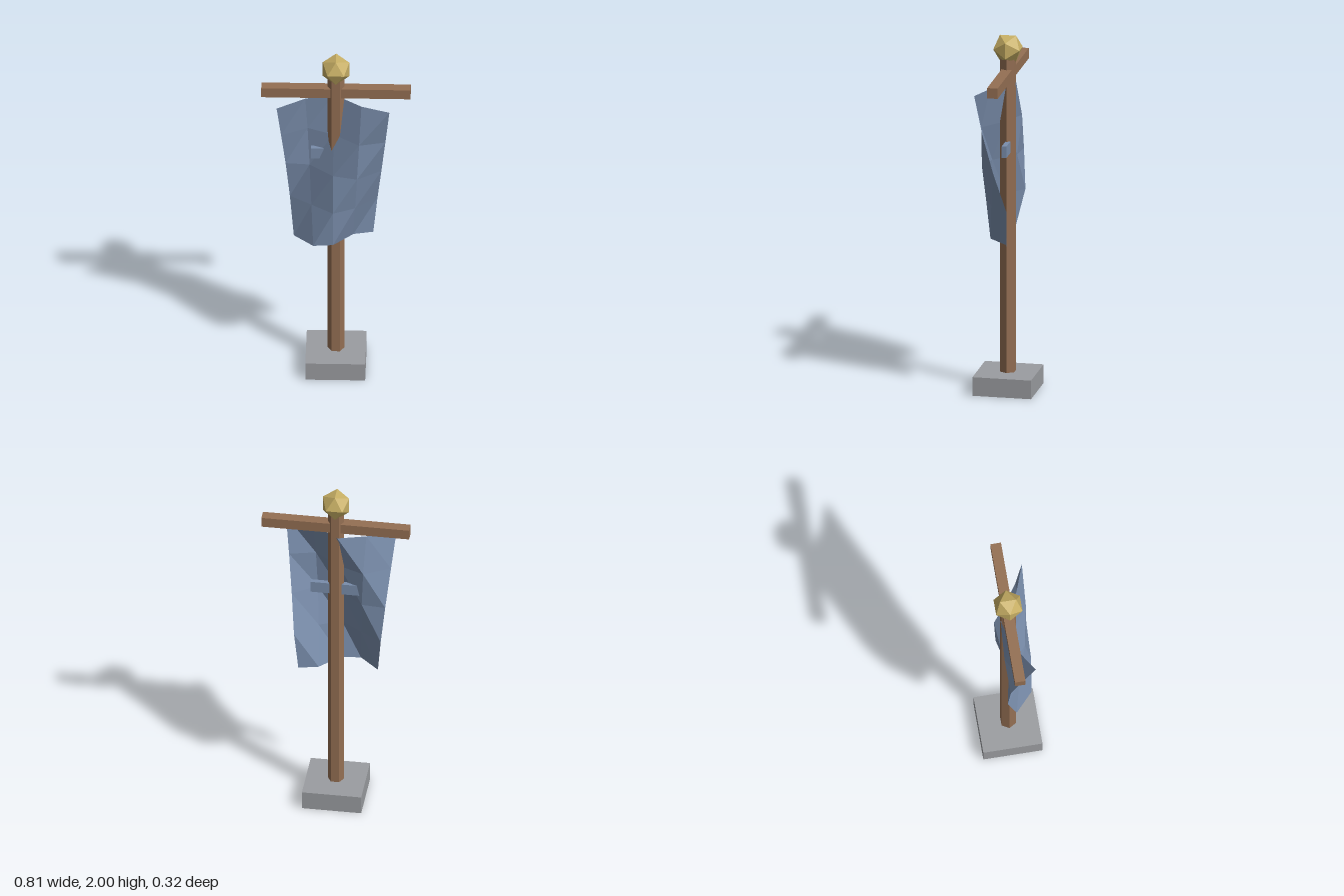
import * as THREE from 'three';

function material(name, color, extra = {}) {
  const m = new THREE.MeshStandardMaterial({ color, flatShading: true, ...extra });
  m.name = name;
  return m;
}

export function createModel() {
  const group = new THREE.Group();
  group.name = 'bannerStand';

  const stone = material('greyStone', 0x9b9da1);
  const wood = material('brownWood', 0x946f53);
  const gold = material('paleGold', 0xc6ae64);
  const cloth = material('blueCloth', 0x7a8eac, { side: THREE.DoubleSide });

  function add(name, geometry, mat, x, y, z) {
    const mesh = new THREE.Mesh(geometry, mat);
    mesh.name = name;
    mesh.position.set(x, y, z);
    group.add(mesh);
    return mesh;
  }

  // Square foot
  add('base', new THREE.BoxGeometry(0.325, 0.105, 0.325), stone, 0, 0.0525, 0);

  // Six-sided pole with its corners on the x axis
  const pole = new THREE.CylinderGeometry(0.045, 0.045, 1.9, 6);
  pole.rotateY(Math.PI / 6);
  add('pole', pole, wood, 0, 0.95, 0);

  // Crossbar
  add('crossbar', new THREE.BoxGeometry(0.81, 0.058, 0.058), wood, 0, 1.786, 0);

  // Faceted knob
  const knob = new THREE.IcosahedronGeometry(0.085, 0);
  knob.rotateX(Math.PI / 2);
  add('finial', knob, gold, 0, 1.928, 0);

  // Rippled cloth: depth of each fold, row by row from the top
  const folds = [
    [0.10, 0.0, -0.043, 0.07, 0.125],
    [0.03, -0.045, 0.015, 0.12, 0.085],
    [-0.03, -0.02, 0.09, 0.12, 0.03],
    [-0.043, 0.04, 0.125, 0.07, -0.04],
    [0.01, 0.11, 0.10, -0.01, -0.035],
  ];
  const sheet = new THREE.PlaneGeometry(1, 1, 4, 4);
  const pos = sheet.attributes.position;
  for (let i = 0; i < pos.count; i++) {
    const row = Math.floor(i / 5);
    const col = i % 5;
    const width = THREE.MathUtils.lerp(0.613, 0.43, row / 4);
    pos.setXYZ(i, (col / 4 - 0.5) * width, -row * 0.2225, folds[row][col]);
  }
  sheet.computeVertexNormals();
  add('banner', sheet, cloth, -0.0135, 1.732, 0);

  // Strap holding the cloth to the pole
  add('strap', new THREE.BoxGeometry(0.272, 0.065, 0.026), cloth, 0, 1.378, -0.007);

  return group;
}
